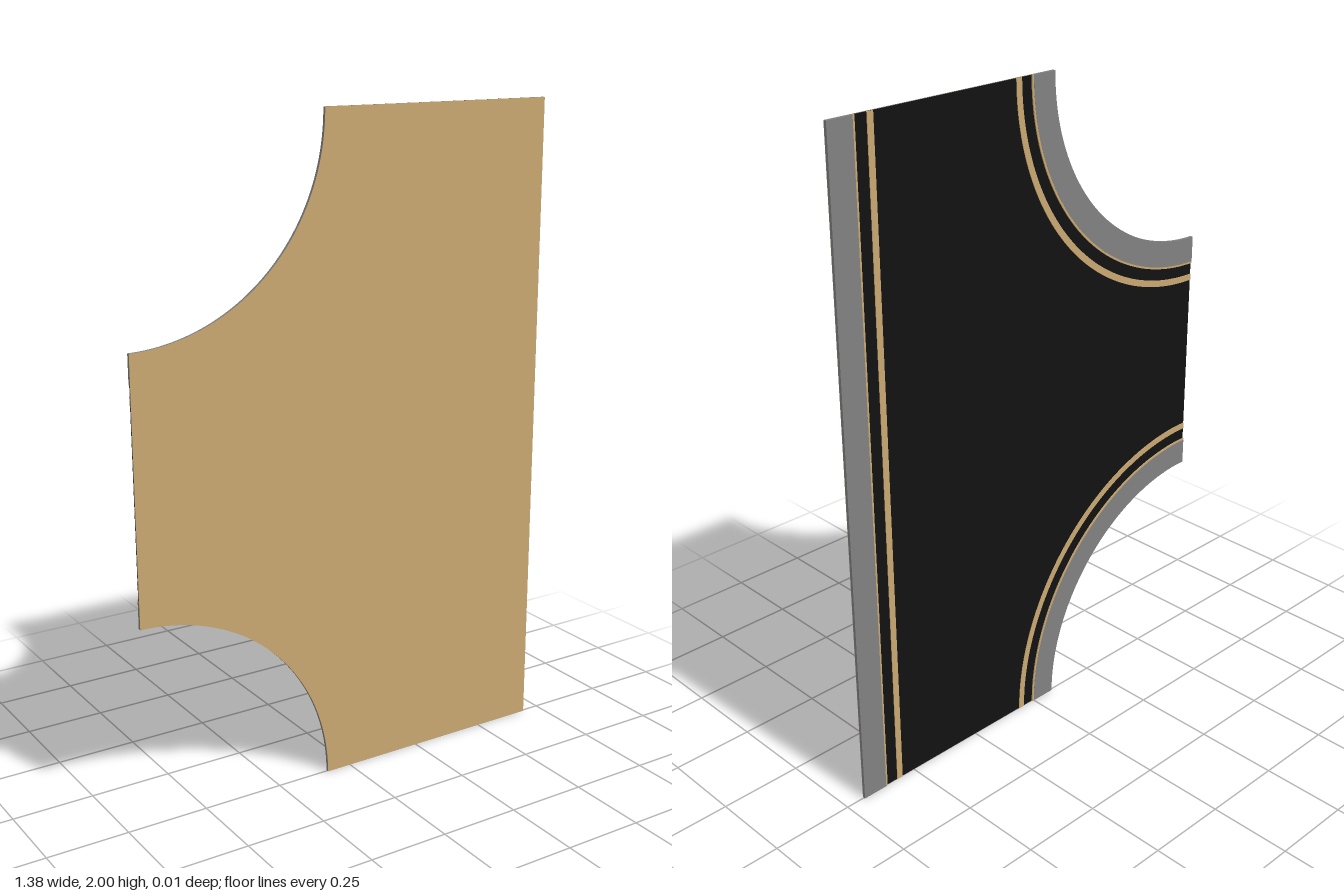
import * as THREE from 'three';

const W = 0.69, H = 2, CURVE = 32;
const TAN = 0xc8a770, GREY = 0x808080, BLACK = 0x111111;

// Tile outline: straight right edge, two quarter-circle cut-outs on the left
function outline(r, right) {
  const s = new THREE.Shape();
  s.moveTo(right, 0);
  s.lineTo(right, H);
  s.lineTo(-W + r, H);
  s.absarc(-W, H, r, 0, -Math.PI / 2, true);
  s.lineTo(-W, r);
  s.absarc(-W, 0, r, Math.PI / 2, 0, true);
  s.closePath();
  return s;
}

// Quarter ring around the lower or upper left corner
function ring(r0, r1, upper) {
  const s = new THREE.Shape();
  const cy = upper ? H : 0;
  const a = upper ? -Math.PI / 2 : 0, b = a + Math.PI / 2;
  s.absarc(-W, cy, r1, a, b, false);
  s.absarc(-W, cy, r0, b, a, true);
  s.closePath();
  return s;
}

// Straight strip over the full height
function strip(x0, x1) {
  return new THREE.Shape([[x0, 0], [x1, 0], [x1, H], [x0, H]].map(p => new THREE.Vector2(...p)));
}

export function createModel() {
  const group = new THREE.Group();
  const materials = {};
  const material = color => (materials[color] ??= new THREE.MeshStandardMaterial({ color }));

  // Flat layer of a shape between two depths; the road surface faces -z
  const layer = (name, shape, zBack, zFront, color) => {
    const geo = new THREE.ExtrudeGeometry(shape, {
      depth: zFront - zBack, bevelEnabled: false, curveSegments: CURVE,
    });
    geo.translate(0, 0, zBack);
    const mesh = new THREE.Mesh(geo, material(color));
    mesh.name = name;
    group.add(mesh);
  };

  // Ground sheet, slab and asphalt
  layer('groundSheet', outline(0.61, W), 0.004, 0.005, TAN);
  layer('slab', outline(0.61, W), 0, 0.004, GREY);
  layer('asphalt', outline(0.69, 0.61), -0.001, 0, BLACK);

  // Straight sidewalk with kerb trim and edge line
  layer('straightSidewalk', strip(0.61, W), -0.005, 0, GREY);
  layer('straightKerb', strip(0.604, 0.61), -0.0045, 0, TAN);
  layer('straightLine', strip(0.545, 0.565), -0.003, 0, TAN);

  // Curved sidewalks, kerb trims and edge lines at both corners
  for (const upper of [false, true]) {
    const side = upper ? 'upper' : 'lower';
    layer(side + 'Sidewalk', ring(0.61, 0.69, upper), -0.005, 0, GREY);
    layer(side + 'Kerb', ring(0.69, 0.696, upper), -0.0045, 0, TAN);
    layer(side + 'Line', ring(0.732, 0.752, upper), -0.003, 0, TAN);
  }
  return group;
}
